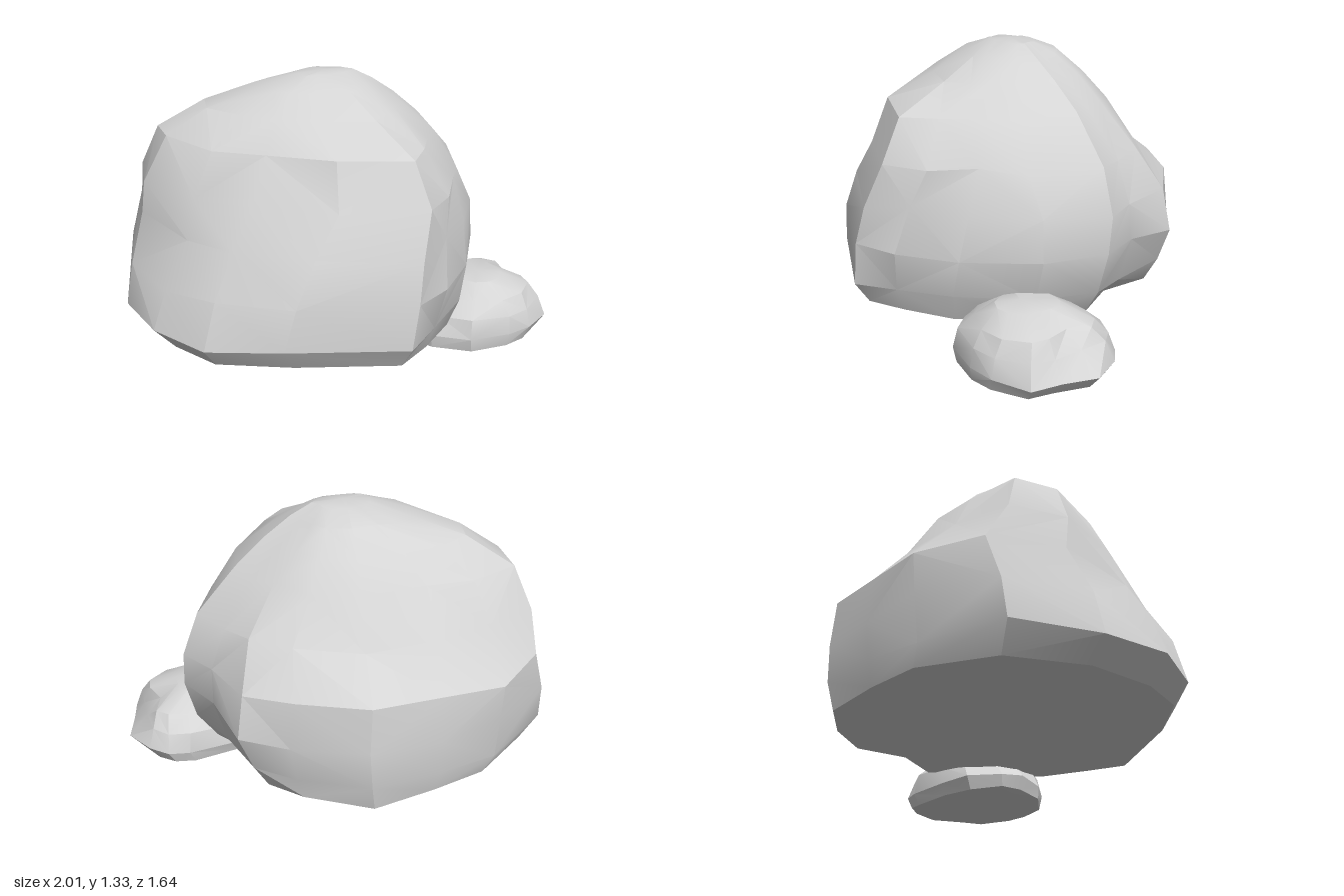
import * as THREE from 'three';
import { toCreasedNormals } from 'three/addons/utils/BufferGeometryUtils.js';

// Small seeded generator for uneven facets
function seeded(seed) {
  return () => {
    seed = (seed * 16807) % 2147483647;
    return seed / 2147483647 - 0.5;
  };
}

// Rescales an outline so each side of its centre reaches exactly 1
function normalise(outline, centre) {
  const axes = [0, 1].map((k) => {
    const vals = outline.map((p) => p[k] - centre[k]);
    const lo = -Math.min(...vals), hi = Math.max(...vals);
    return vals.map((v) => (v < 0 ? v / lo : v / hi));
  });
  return outline.map((_, i) => [axes[0][i], axes[1][i]]);
}

// Skins a stone from rings that blend from a lower to an upper outline.
// levels: [y, xMin, xMax, zMin, zMax, blend]
function stone({ lower, upper, centre, levels, bottom, top, jitter, seed, crease }) {
  const rand = seeded(seed);
  const n = lower.length;
  const from = normalise(lower, centre);
  const to = normalise(upper, centre);
  const fit = (v, a, b, c) => (v < 0 ? c + v * (c - a) : c + v * (b - c));
  const middle = (c, a, b) => THREE.MathUtils.clamp(c, a * 0.65 + b * 0.35, a * 0.35 + b * 0.65);

  const pos = [];
  levels.forEach(([y, x0, x1, z0, z1, blend]) => {
    const mx = middle(centre[0], x0, x1);
    const mz = middle(centre[1], z0, z1);
    const amount = jitter * (x1 - x0);
    from.forEach(([x, z], i) => {
      const u = THREE.MathUtils.lerp(x, to[i][0], blend);
      const v = THREE.MathUtils.lerp(z, to[i][1], blend);
      pos.push(
        fit(u, x0, x1, mx) + rand() * amount,
        y + rand() * amount,
        fit(v, z0, z1, mz) + rand() * amount,
      );
    });
  });
  pos.push(...bottom, ...top);

  // Outlines run from +x towards +z
  const index = [];
  const last = (levels.length - 1) * n;
  for (let i = 0; i < n; i++) {
    const j = (i + 1) % n;
    for (let r = 0; r < last; r += n) {
      const a = r + i, b = r + j, c = r + n + j, d = r + n + i;
      if (rand() > 0) index.push(a, d, b, b, d, c);
      else index.push(a, d, c, a, c, b);
    }
    index.push(levels.length * n, i, j);
    index.push(levels.length * n + 1, last + j, last + i);
  }
  const geo = new THREE.BufferGeometry();
  geo.setAttribute('position', new THREE.Float32BufferAttribute(pos, 3));
  geo.setIndex(index);
  return toCreasedNormals(geo, crease);
}

export function createModel() {
  const group = new THREE.Group();
  const grey = new THREE.MeshStandardMaterial({ color: 0xd4d4d4 });
  grey.name = 'pale stone grey';

  // Large boulder: round foot, shoulder hollowed out on the front right
  const boulder = new THREE.Mesh(stone({
    lower: [
      [0.77, -0.02], [0.66, 0.25], [0.45, 0.55], [0.2, 0.71], [-0.02, 0.82], [-0.52, 0.66],
      [-0.83, 0.45], [-0.95, 0.2], [-1, -0.15], [-0.88, -0.52], [-0.55, -0.73],
      [-0.25, -0.78], [0.1, -0.82], [0.43, -0.66], [0.6, -0.51], [0.64, -0.22],
    ],
    upper: [
      [0.48, -0.05], [0.41, 0.2], [0.31, 0.36], [0.21, 0.5], [0.09, 0.63], [-0.22, 0.51],
      [-0.46, 0.3], [-0.63, 0.1], [-0.76, -0.18], [-0.72, -0.38], [-0.51, -0.46],
      [-0.25, -0.48], [0.03, -0.47], [0.24, -0.39], [0.36, -0.28], [0.44, -0.16],
    ],
    centre: [-0.05, 0],
    levels: [
      [0.145, -0.55, 0.4, -0.45, 0.48, 0],
      [0.185, -0.91, 0.6, -0.79, 0.74, 0],
      [0.29, -1, 0.69, -0.81, 0.81, 0],
      [0.48, -0.95, 0.76, -0.82, 0.82, 0.1],
      [0.68, -0.88, 0.73, -0.81, 0.77, 0.45],
      [0.86, -0.85, 0.65, -0.61, 0.73, 0.85],
      [1.06, -0.77, 0.48, -0.48, 0.63, 1],
      [1.18, -0.57, 0.33, -0.37, 0.37, 0.9],
      [1.27, -0.35, 0.21, -0.26, 0.19, 0.5],
      [1.32, -0.16, 0.11, -0.13, 0.05, 0],
    ],
    bottom: [-0.05, 0.135, 0],
    top: [-0.03, 1.33, -0.03],
    jitter: 0.022, seed: 4127, crease: 0.4,
  }), grey);
  boulder.name = 'largeBoulder';

  // Small stone resting against its left front side
  const pebble = new THREE.Mesh(stone({
    lower: [
      [1, 0.2], [0.96, 0.36], [0.94, 0.49], [0.78, 0.58], [0.65, 0.61], [0.45, 0.58],
      [0.3, 0.46], [0.21, 0.3], [0.2, 0.17], [0.32, 0.04], [0.5, 0], [0.74, -0.03],
      [0.84, -0.01], [0.93, 0.06],
    ],
    upper: [
      [0.84, 0.25], [0.87, 0.36], [0.86, 0.44], [0.77, 0.52], [0.64, 0.54], [0.5, 0.5],
      [0.42, 0.42], [0.4, 0.3], [0.41, 0.2], [0.47, 0.12], [0.56, 0.08], [0.72, 0.07],
      [0.82, 0.09], [0.87, 0.15],
    ],
    centre: [0.6, 0.29],
    levels: [
      [0.015, 0.33, 0.82, 0.08, 0.5, 0],
      [0.035, 0.22, 0.95, -0.01, 0.6, 0],
      [0.1, 0.2, 1, -0.03, 0.61, 0],
      [0.19, 0.29, 0.93, 0, 0.59, 0.5],
      [0.26, 0.4, 0.87, 0.07, 0.54, 1],
      [0.32, 0.5, 0.75, 0.18, 0.45, 0.5],
    ],
    bottom: [0.55, 0, 0.2],
    top: [0.62, 0.335, 0.34],
    jitter: 0.022, seed: 911, crease: 0.4,
  }), grey);
  pebble.name = 'smallStone';

  group.add(boulder, pebble);
  return group;
}
